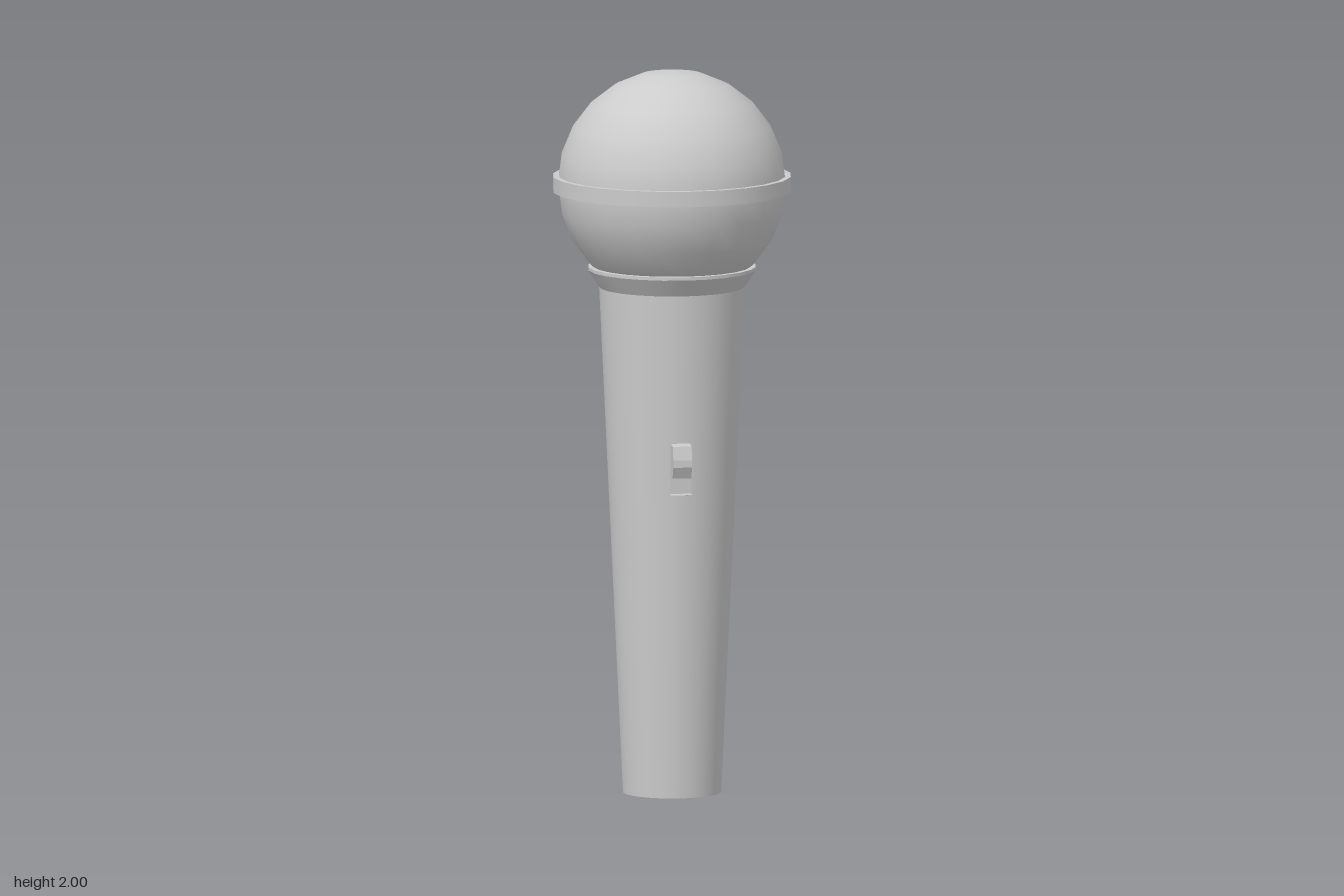
import * as THREE from 'three';

const material = new THREE.MeshStandardMaterial({ color: 0xcccccc });
const inside = new THREE.MeshStandardMaterial({ color: 0xcccccc, side: THREE.BackSide });

const HANDLE_TOP = 1.4;
const SIDES = 36;
const SLOT = { bottom: 0.845, top: 0.99, depth: 0.03, angle: (2 * Math.PI) / SIDES };
const handleRadius = (y) => 0.135 + (0.065 * y) / HANDLE_TOP;

function add(parent, name, geometry, mat = material) {
  const mesh = new THREE.Mesh(geometry, mat);
  mesh.name = name;
  parent.add(mesh);
  return mesh;
}

// Turned surface with crisp edges: each profile segment is its own lathe
function turned(parent, name, points, segments, start = 0, sweep = Math.PI * 2) {
  const group = new THREE.Group();
  group.name = name;
  for (let i = 0; i < points.length - 1; i++) {
    const pair = [points[i], points[i + 1]].map(([r, y]) => new THREE.Vector2(r, y));
    add(group, name + 'Surface', new THREE.LatheGeometry(pair, segments, start, sweep));
  }
  parent.add(group);
  return group;
}

export function createModel() {
  const model = new THREE.Group();
  model.name = 'microphone';

  // Round grille with a raised band at its equator
  const grille = add(model, 'grille', new THREE.SphereGeometry(0.315, 24, 12));
  grille.position.y = 1.685;
  turned(model, 'grilleBand', [[0.305, 1.665], [0.328, 1.665], [0.328, 1.708], [0.305, 1.708]], 24);

  // Flared collar between grille and handle
  turned(model, 'collar', [[0.2, 1.4], [0.231, 1.448], [0.231, 1.457], [0.19, 1.457]], 24);

  // Tapered handle; the middle section leaves a gap for the switch
  const ring = (y) => [handleRadius(y), y];
  turned(model, 'handleLower', [ring(0), ring(SLOT.bottom)], SIDES);
  turned(model, 'handleMiddle', [ring(SLOT.bottom), ring(SLOT.top)], SIDES - 2,
    SLOT.angle, Math.PI * 2 - 2 * SLOT.angle);
  turned(model, 'handleUpper', [ring(SLOT.top), ring(HANDLE_TOP)], SIDES);

  // Hollow connector socket in the bottom end
  turned(model, 'socket', [[0, 0.2], [0.113, 0.2], [0.113, 0], [0.135, 0]], SIDES);

  // Three contact pins
  for (let i = 0; i < 3; i++) {
    const a = (i * Math.PI * 2) / 3;
    const pin = new THREE.Group();
    pin.name = 'contactPin';
    const shaft = add(pin, 'pinShaft', new THREE.CylinderGeometry(0.013, 0.013, 0.16, 12));
    shaft.position.y = 0.125;
    const tip = add(pin, 'pinTip',
      new THREE.SphereGeometry(0.013, 12, 6, 0, Math.PI * 2, Math.PI / 2, Math.PI / 2));
    tip.position.y = 0.045;
    pin.position.set(0.055 * Math.sin(a), 0, 0.055 * Math.cos(a));
    model.add(pin);
  }

  // Recess of the switch, its mouth fitted to the taper of the handle
  const slot = new THREE.BoxGeometry(1, 1, 1);
  const p = slot.attributes.position;
  for (let i = 0; i < p.count; i++) {
    const y = p.getY(i) > 0 ? SLOT.top : SLOT.bottom;
    const r = handleRadius(y);
    const z = r * Math.cos(SLOT.angle) - (p.getZ(i) > 0 ? 0 : SLOT.depth);
    p.setXYZ(i, Math.sign(p.getX(i)) * r * Math.sin(SLOT.angle), y, z);
  }
  slot.computeVertexNormals();
  add(model, 'switchRecess', slot, inside);

  // Sliding switch, a side profile (z, y) extruded across x
  const profile = [[0.145, 0.89], [0.182, 0.893], [0.197, 0.925], [0.197, 0.945], [0.188, 0.982], [0.145, 0.985]];
  const shape = new THREE.Shape(profile.map(([z, y]) => new THREE.Vector2(-z, y)));
  const slider = new THREE.ExtrudeGeometry(shape, { depth: 0.052, bevelEnabled: false });
  slider.translate(0, 0, -0.026);
  slider.rotateY(Math.PI / 2);
  add(model, 'switchSlider', slider);

  return model;
}
